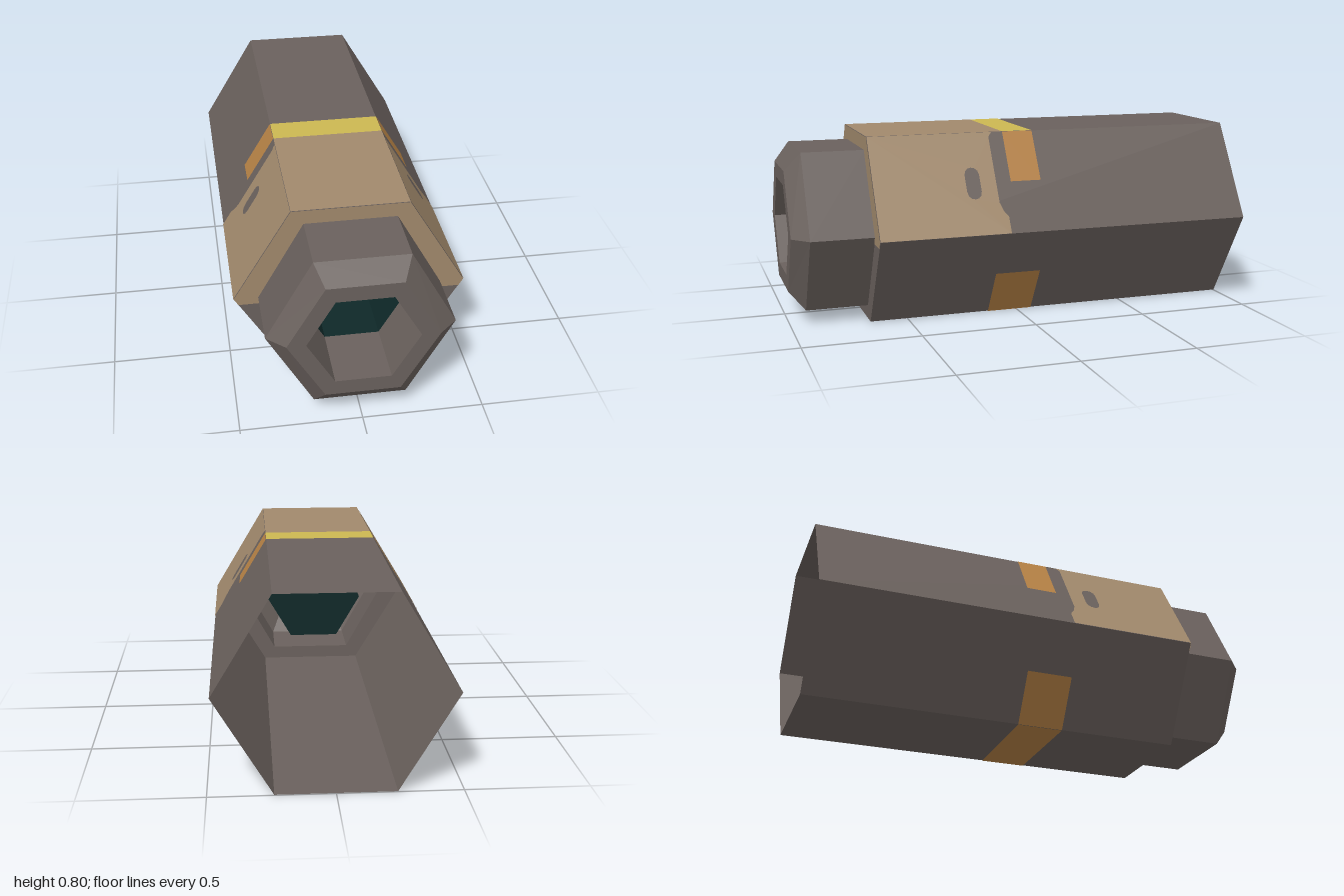
import * as THREE from 'three';

const CY = 0.4; // height of the long axis
const SHELL = [0.48, 0.4], BARREL = [0.38, 0.34], BORE = [0.228, 0.195];

const paint = (name, color) => {
  const m = new THREE.MeshStandardMaterial({ color, side: THREE.DoubleSide, flatShading: true });
  m.name = name;
  return m;
};

// corner k of a slightly flattened hexagon, point to the side
const corner = ([rx, ry], k) => {
  const a = (k * Math.PI) / 3;
  return new THREE.Vector2(rx * Math.cos(a), (ry * Math.sin(a)) / Math.sin(Math.PI / 3));
};

// flat-sided skin through hexagonal rings [rx, ry, z]
function loft(rings) {
  const pos = [];
  const put = (r, k) => {
    const c = corner(r, k);
    pos.push(c.x, c.y + CY, r[2]);
  };
  for (let i = 0; i < rings.length - 1; i++) {
    const a = rings[i], b = rings[i + 1];
    for (let k = 0; k < 6; k++) {
      put(a, k); put(b, k); put(b, k + 1);
      put(a, k); put(b, k + 1); put(a, k + 1);
    }
  }
  const g = new THREE.BufferGeometry();
  g.setAttribute('position', new THREE.Float32BufferAttribute(pos, 3));
  g.computeVertexNormals();
  return g;
}

const shapeOf = (pts) => new THREE.Shape(pts.map(([x, y]) => new THREE.Vector2(x, y)));

// lay a (z, t) shape on the shell side from corner k to k + 1, t running 0..1
function onSide(shape, k) {
  const a = corner(SHELL, k), b = corner(SHELL, k + 1);
  const out = new THREE.Vector2(b.y - a.y, a.x - b.x).normalize().multiplyScalar(0.002);
  const g = new THREE.ShapeGeometry(shape, 6);
  const p = g.attributes.position;
  for (let i = 0; i < p.count; i++) {
    const z = p.getX(i), q = a.clone().lerp(b, p.getY(i)).add(out);
    p.setXYZ(i, q.x, q.y + CY, z);
  }
  g.computeVertexNormals();
  return g;
}

export function createModel() {
  const group = new THREE.Group();
  const gray = paint('warm gray metal', 0x6a615d);
  const tan = paint('tan paint', 0xa1896c);
  const yellow = paint('yellow paint', 0xccb852);
  const orange = paint('orange paint', 0xb58145);
  const teal = paint('dark teal', 0x0e2828);
  const add = (name, geo, mat) => {
    const m = new THREE.Mesh(geo, mat);
    m.name = name;
    group.add(m);
    return m;
  };

  // open shell, stepped front barrel and bore
  add('shell', loft([[...BARREL, 0.664], [...SHELL, 0.664], [...SHELL, -1]]), gray);
  add('barrel', loft([[...BORE, 1], [0.305, 0.26, 1], [...BARREL, 0.932], [...BARREL, 0.664]]), gray);
  add('boreFront', loft([[...BORE, 0.72], [...BORE, 1]]), gray);
  add('boreRear', loft([[...BORE, 0.4], [...BORE, 0.72]]), teal);
  add('boreCap', loft([[0, 0, 0.4], [...BORE, 0.4]]), teal);

  // tan paint on the front step, down to just below the side corners
  const low = -0.03;
  const cut = ([rx, ry]) => rx + (rx / 2 / ry) * low;
  const half = (size) => [
    [cut(size), low],
    ...[0, 1, 2, 3].map((k) => corner(size, k).toArray()),
    [-cut(size), low],
  ];
  const step = add('stepPaint', new THREE.ShapeGeometry(
    shapeOf([...half(SHELL), ...half(BARREL).reverse()])), tan);
  step.position.set(0, CY, 0.666);

  // tan side panel with a rounded notch and a slot left bare
  const panel = () => {
    const s = shapeOf([[0.664, 0], [0.664, 1], [0.118, 1], [0.134, 0.95],
      [0.134, 0.3], [0.122, 0.22], [0.103, 0.16], [0.103, 0]]);
    const slot = new THREE.Path();
    const z = 0.236, r = 0.032, t0 = 0.42, t1 = 0.58;
    slot.moveTo(z - r, t0);
    slot.lineTo(z - r, t1);
    slot.bezierCurveTo(z - r, t1 + 0.1, z + r, t1 + 0.1, z + r, t1);
    slot.lineTo(z + r, t0);
    slot.bezierCurveTo(z + r, t0 - 0.1, z - r, t0 - 0.1, z - r, t0);
    s.holes.push(slot);
    return s;
  };
  // the right side runs the other way round the shell, so t is flipped there
  const flip = (shape) => {
    const { shape: o, holes } = shape.extractPoints(6);
    const turn = (pts) => pts.map((p) => new THREE.Vector2(p.x, 1 - p.y));
    const s = new THREE.Shape(turn(o));
    holes.forEach((h) => s.holes.push(new THREE.Path(turn(h))));
    return s;
  };
  const rect = (z0, z1, t0, t1) => shapeOf([[z0, t0], [z1, t0], [z1, t1], [z0, t1]]);

  // markings on the left and right sides
  const upper = rect(-0.068, 0.068, 0.5, 1);
  const lower = rect(-0.068, 0.134, 0, 0.5);
  add('leftPanel', onSide(panel(), 0), tan);
  add('rightPanel', onSide(flip(panel()), 2), tan);
  add('leftUpperMark', onSide(upper, 0), orange);
  add('rightUpperMark', onSide(flip(upper), 2), orange);
  add('leftLowerMark', onSide(lower, 5), orange);
  add('rightLowerMark', onSide(flip(lower), 3), orange);

  // top panel, top band and bottom band
  add('topPanel', onSide(rect(0.068, 0.664, 0, 1), 1), tan);
  add('topBand', onSide(rect(-0.068, 0.068, 0, 1), 1), yellow);
  add('bottomBand', onSide(rect(-0.068, 0.134, 0, 1), 4), orange);

  return group;
}
